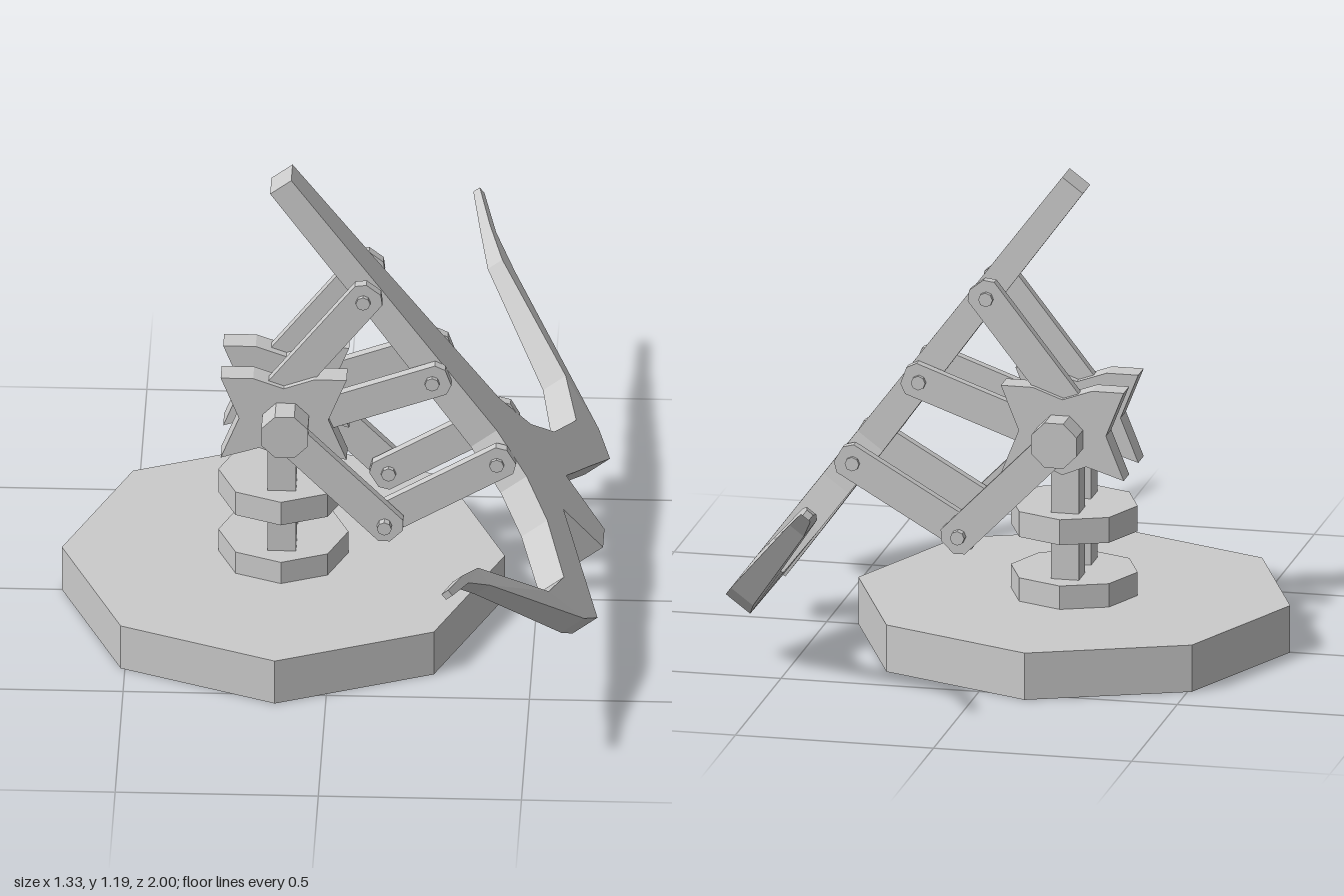
import * as THREE from 'three';

const grey = new THREE.MeshStandardMaterial({ color: 0xcccccc, flatShading: true, side: THREE.DoubleSide });
const CX = -0.125; // axis of the stand

function add(parent, name, geometry, x = 0, y = 0, z = 0) {
  const mesh = new THREE.Mesh(geometry, grey);
  mesh.name = name;
  mesh.position.set(x, y, z);
  parent.add(mesh);
  return mesh;
}

// Solid skin over four-cornered cross-sections, capped at both ends
function loft(rings) {
  const tris = [];
  const quad = (a, b, c, d) => tris.push([a, b, c], [a, c, d]);
  for (let i = 0; i < rings.length - 1; i++) {
    for (let j = 0; j < 4; j++) {
      const k = (j + 1) % 4;
      quad(rings[i][j], rings[i][k], rings[i + 1][k], rings[i + 1][j]);
    }
  }
  quad(...[...rings[0]].reverse());
  quad(...rings[rings.length - 1]);
  // turn the faces outwards when the sections run the other way round
  const volume = tris.reduce((v, [a, b, c]) => v + a.dot(b.clone().cross(c)), 0);
  if (volume < 0) tris.forEach((t) => t.reverse());
  const geometry = new THREE.BufferGeometry().setFromPoints(tris.flat());
  geometry.computeVertexNormals();
  return geometry;
}

// Point on the sloping stock: height of its outer face, side offset, depth below the face
function onSlope(y, z, depth) {
  const x = -0.104 + (1.193 - y) * 0.754;
  return new THREE.Vector3(x - 0.8 * depth, y - 0.6 * depth, z);
}

function extrude(points, depth) {
  const shape = new THREE.Shape(points.map(([x, y]) => new THREE.Vector2(x, y)));
  const geometry = new THREE.ExtrudeGeometry(shape, { depth, bevelEnabled: false });
  return geometry.translate(0, 0, -depth / 2);
}

// Flat link bar with chamfered ends, running past its two pivots
function link(parent, name, from, to, z, width = 0.085, thick = 0.025) {
  const dx = to[0] - from[0], dy = to[1] - from[1];
  const len = Math.hypot(dx, dy), h = width / 2, e = 0.042, c = 0.02;
  const bar = add(parent, name, extrude([
    [-e, -h + c], [-e + c, -h], [len + e - c, -h], [len + e, -h + c],
    [len + e, h - c], [len + e - c, h], [-e + c, h], [-e, h - c],
  ], thick), from[0], from[1], z);
  bar.rotation.z = Math.atan2(dy, dx);
}

function disc(r, h, sides, open = false) {
  return new THREE.CylinderGeometry(r, r, h, sides, 1, open);
}

export function createModel() {
  const model = new THREE.Group();

  // Hollow octagonal base, open underneath
  add(model, 'baseWall', disc(0.545, 0.12, 8, true), CX, 0.06);
  add(model, 'baseTop', new THREE.CircleGeometry(0.545, 8).rotateX(-Math.PI / 2), CX, 0.12);
  add(model, 'lowerCollar', disc(0.16, 0.07, 8), CX, 0.145);
  add(model, 'upperCollar', disc(0.16, 0.065, 8), CX, 0.3175);

  // Stock: tapered beam, widest where the bow joins
  const stock = [
    [1.193, 0.04, 0.065], [0.9, 0.055, 0.07], [0.52, 0.08, 0.08],
    [0.305, 0.085, 0.085], [0.175, 0.045, 0.087],
  ];
  add(model, 'stock', loft(stock.map(([y, w, d]) => [
    onSlope(y, w, 0), onSlope(y, -w, 0), onSlope(y, -w, d), onSlope(y, w, d),
  ])));

  // Bow limb sections: upper z, upper y, lower z, lower y, outer depth, inner depth
  const limb = [
    [0.05, 0.56, 0.05, 0.31, 0, 0.08],
    [0.08, 0.52, 0.09, 0.3, 0, 0.08],
    [0.13, 0.42, 0.15, 0.275, 0, 0.08],
    [0.22, 0.348, 0.25, 0.235, 0, 0.08],
    [0.39, 0.285, 0.395, 0.175, 0, 0.077],
    [0.535, 0.327, 0.47, 0.215, 0, 0.07],
    [0.765, 0.53, 0.78, 0.49, 0.015, 0.06],
    [0.87, 0.57, 0.87, 0.55, 0.02, 0.05],
    [1.0, 0.605, 1.0, 0.59, 0.025, 0.045],
  ];

  const star = [
    [-0.155, 0.67], [-0.075, 0.67], [0, 0.643], [0.075, 0.67], [0.155, 0.67], [0.11, 0.557],
    [0.155, 0.445], [0.06, 0.475], [0, 0.45], [-0.06, 0.475], [-0.155, 0.445], [-0.11, 0.557],
  ];

  for (const s of [1, -1]) {
    const side = new THREE.Group();
    side.name = s > 0 ? 'frontSide' : 'backSide';
    model.add(side);

    add(side, 'bowLimb', loft(limb.map(([zu, yu, zl, yl, d0, d1]) => [
      onSlope(yu, s * zu, d0), onSlope(yl, s * zl, d0), onSlope(yl, s * zl, d1), onSlope(yu, s * zu, d1),
    ])));

    // Upright carrying the star bracket and hub
    add(side, 'post', new THREE.BoxGeometry(0.07, 0.5, 0.07), CX, 0.28, s * 0.067);
    add(side, 'starBracket', extrude(star, 0.06), -0.12, 0, s * 0.08);
    const hub = disc(0.062, 0.075, 8).rotateX(Math.PI / 2).rotateZ(Math.PI / 8);
    add(side, 'hub', hub, -0.115, 0.545, s * 0.143);

    // Link bars between hub and stock
    link(side, 'upperLink', [-0.14, 0.61], [0.075, 0.885], s * 0.083);
    link(side, 'middleLink', [-0.06, 0.55], [0.245, 0.66], s * 0.083);
    link(side, 'lowerLink', [-0.115, 0.54], [0.13, 0.29], s * 0.145);
    link(side, 'crossLink', [0.13, 0.29], [0.405, 0.45], s * 0.115);

    // Pivot bolts: x, y, inner z, outer z
    for (const [x, y, z0, z1] of [
      [0.075, 0.885, 0.03, 0.107], [0.245, 0.66, 0.03, 0.107],
      [0.405, 0.45, 0.06, 0.137], [0.13, 0.29, 0.09, 0.178],
    ]) {
      add(side, 'pivotBolt', disc(0.018, z1 - z0, 8).rotateX(Math.PI / 2), x, y, s * (z0 + z1) / 2);
    }
  }
  return model;
}
